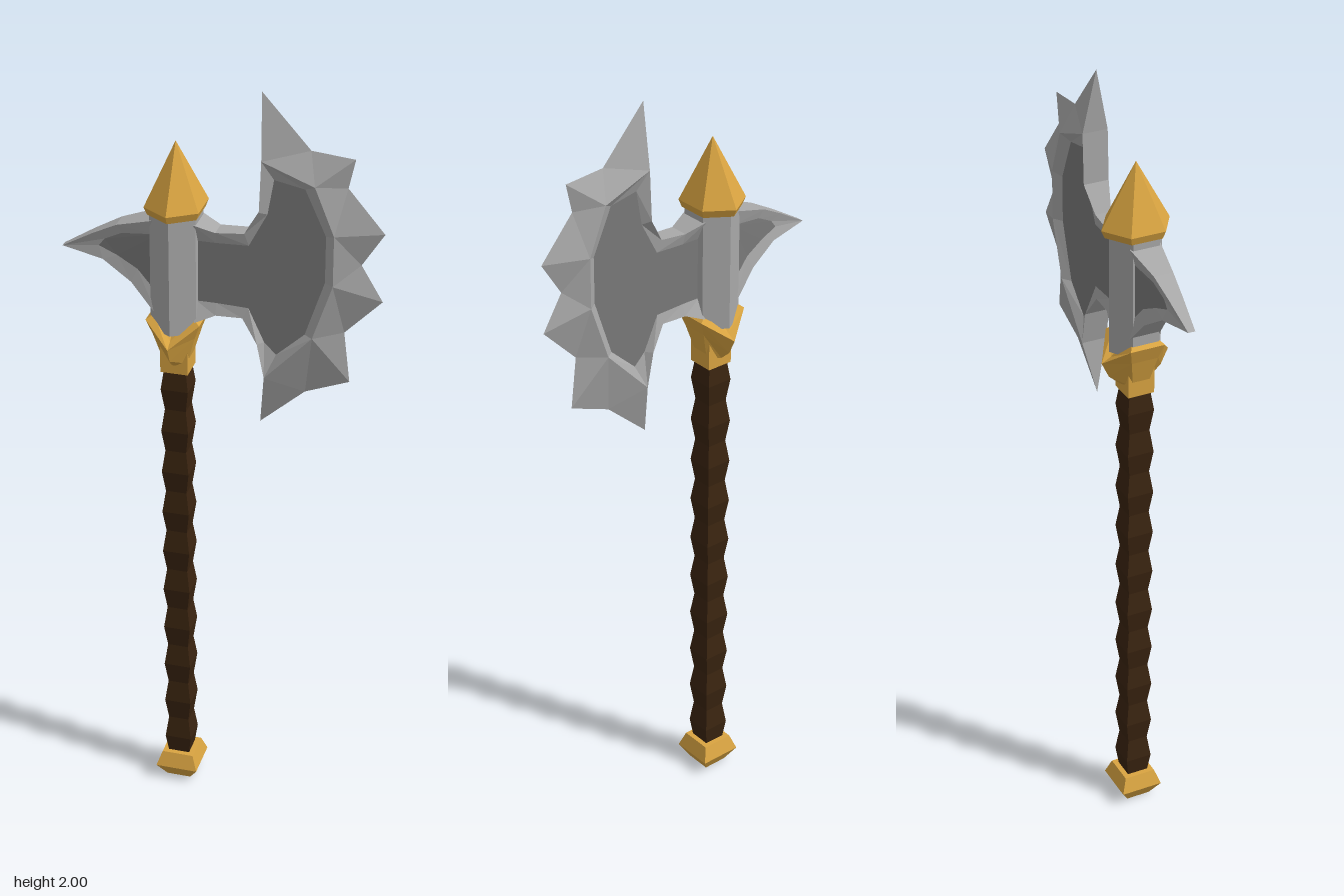
import * as THREE from 'three';

const AXIS = -0.113; // x of the shaft

const mat = (name, color) => {
  const m = new THREE.MeshStandardMaterial({ color });
  m.name = name;
  return m;
};

// Faceted lathe, profile [radius, y] from bottom to top; six sides point to +z
function facetLathe(profile, sides, scaleX = 1, rule = null) {
  const k = sides === 4 ? Math.SQRT2 : 1; // square radii are half widths
  const pts = profile.map(([r, y]) => new THREE.Vector2(r * k, y));
  const geo = new THREE.LatheGeometry(pts, sides, sides === 4 ? Math.PI / 4 : 0);
  if (rule) {
    const p = geo.attributes.position;
    for (let i = 0; i < p.count; i++) p.setY(i, rule(p.getX(i), p.getY(i), p.getZ(i)));
  }
  geo.scale(scaleX, 1, 1).translate(AXIS, 0, 0);
  const flat = geo.toNonIndexed();
  flat.computeVertexNormals();
  return flat;
}

function triangles(list) {
  const geo = new THREE.BufferGeometry();
  geo.setAttribute('position', new THREE.Float32BufferAttribute(list.flat(2), 3));
  geo.computeVertexNormals();
  return geo;
}

const back = ([x, y, z]) => [x, y, -z];
// Each front triangle together with its reversed copy on the back
const bothSides = (tris) => tris.flatMap(([a, b, c]) => [[a, b, c], [back(a), back(c), back(b)]]);

// Bevelled rim between outline and panel, joined front to back where walled
function rimTriangles(rim, panel, walled) {
  const front = [], wall = [];
  for (let i = 0; i < rim.length - 1; i++) {
    const a = rim[i], b = rim[i + 1];
    front.push([a, panel[i], panel[i + 1]], [a, panel[i + 1], b]);
    if (walled(i)) wall.push([a, b, back(b)], [a, back(b), back(a)]);
  }
  return [...bothSides(front), ...wall];
}

function panelTriangles(panel) {
  const outline = panel.map(([x, y]) => new THREE.Vector2(x, y));
  const faces = THREE.ShapeUtils.triangulateShape(outline, []).map((f) => {
    const [a, b, c] = f.map((i) => panel[i]);
    const area = (b[0] - a[0]) * (c[1] - a[1]) - (b[1] - a[1]) * (c[0] - a[0]);
    return area > 0 ? [a, b, c] : [a, c, b];
  });
  return bothSides(faces);
}

export function createModel() {
  const group = new THREE.Group();
  const gold = mat('gold', 0xd9a441);
  const steel = mat('light steel', 0xa8a8a8);
  const darkSteel = mat('dark steel', 0x7a7a7a);
  const wood = mat('dark wood', 0x3a2410);
  const add = (name, geo, material) => {
    const mesh = new THREE.Mesh(geo, material);
    mesh.name = name;
    group.add(mesh);
  };

  // Square grip with a row of swellings
  const beads = 10, y0 = 0.07, y1 = 1.26;
  const grip = [];
  for (let i = 0; i <= beads * 2; i++) {
    grip.push([i % 2 ? 0.035 : 0.027, y0 + ((y1 - y0) * i) / (beads * 2)]);
  }
  add('grip', facetLathe(grip, 4), wood);

  // Gold fittings
  add('pommel', facetLathe([[0, 0], [0.032, 0], [0.056, 0.04], [0.042, 0.08], [0, 0.08]], 4), gold);
  add('collar', facetLathe([[0, 1.25], [0.035, 1.25], [0.035, 1.33], [0, 1.33]], 4), gold);
  add('guard', facetLathe(
    [[0, 1.27], [0.04, 1.275], [0.07, 1.355], [0.089, 1.395], [0.065, 1.408], [0, 1.408]], 6, 0.88,
    (x, y, z) => (Math.abs(x) < 0.001 && Math.abs(z) > 0.06 ? y - 0.053 : y)), gold);
  add('topSpike', facetLathe([[0, 1.67], [0.08, 1.675], [0.089, 1.695], [0, 1.855]], 6, 0.88), gold);

  // Six-sided steel socket
  add('socket', facetLathe([[0, 1.37], [0.069, 1.37], [0.069, 1.68], [0, 1.68]], 6, 0.96), steel);

  // Main blade: rim, recessed panel and jagged cutting edge
  const rim = [
    [-0.06, 1.66, 0.04], [-0.01, 1.64, 0.025], [0.06, 1.645, 0.021], [0.098, 1.71, 0.033],
    [0.103, 1.84, 0.033], [0.232, 1.79, 0.033], [0.28, 1.67, 0.033], [0.28, 1.54, 0.033],
    [0.232, 1.395, 0.033], [0.114, 1.27, 0.033], [0.096, 1.36, 0.033], [0.056, 1.42, 0.021],
    [-0.01, 1.42, 0.025], [-0.06, 1.4, 0.04],
  ];
  const panel = [
    [-0.06, 1.61], [-0.01, 1.61], [0.07, 1.613], [0.115, 1.7], [0.13, 1.79], [0.205, 1.775], [0.257, 1.66],
    [0.257, 1.54], [0.21, 1.395], [0.14, 1.33], [0.11, 1.36], [0.07, 1.447], [-0.01, 1.45], [-0.06, 1.45],
  ].map(([x, y]) => [x, y, 0.016]);
  const edge = [
    [0.095, 2], [0.214, 1.867], [0.32, 1.857], [0.304, 1.783], [0.395, 1.676], [0.341, 1.59],
    [0.395, 1.5], [0.304, 1.406], [0.32, 1.273], [0.21, 1.23], [0.098, 1.13],
  ].map(([x, y]) => [x, y, 0]);
  const first = 4, last = 9; // rim points that carry the cutting edge
  add('bladeRim', triangles(rimTriangles(rim, panel, (i) => i < first || i >= last)), steel);
  add('bladePanel', triangles(panelTriangles(panel)), darkSteel);

  const teeth = [];
  for (let i = first; i <= last; i++) {
    const v = 2 * (i - first); // tooth point nearest this rim point
    if (i > first) teeth.push([rim[i], edge[v], edge[v - 1]], [rim[i - 1], rim[i], edge[v - 1]]);
    if (i < last) teeth.push([rim[i], edge[v + 1], edge[v]]);
  }
  const ends = [
    [back(rim[first]), rim[first], edge[0]],
    [rim[last], back(rim[last]), edge[edge.length - 1]],
  ];
  add('bladeTeeth', triangles([...bothSides(teeth), ...ends]), steel);

  // Rear beak
  const beakRim = [
    [-0.15, 1.405, 0.042], [-0.22, 1.485, 0.03], [-0.294, 1.533, 0.021], [-0.4, 1.55, 0.009],
    [-0.32, 1.597, 0.018], [-0.257, 1.63, 0.025], [-0.15, 1.663, 0.042],
  ];
  const beakPanel = [
    [-0.15, 1.46, 0.032], [-0.205, 1.52, 0.025], [-0.257, 1.547, 0.019], [-0.305, 1.565, 0.014],
    [-0.29, 1.585, 0.015], [-0.245, 1.608, 0.02], [-0.15, 1.622, 0.032],
  ];
  add('beakRim', triangles(rimTriangles(beakRim, beakPanel, () => true)), steel);
  add('beakPanel', triangles(panelTriangles(beakPanel)), darkSteel);

  return group;
}
